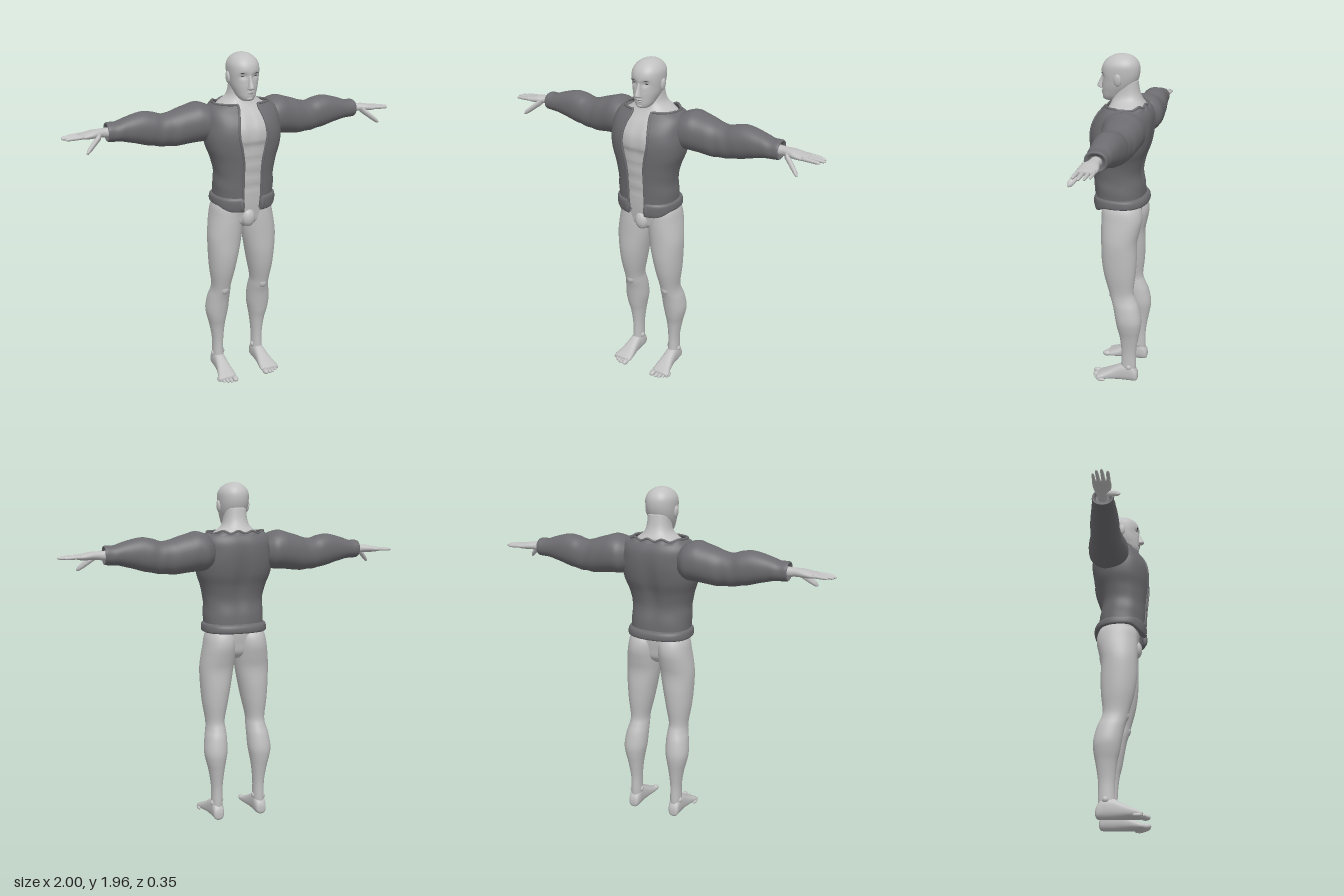
import * as THREE from 'three';

const mat = (name, color, side = THREE.FrontSide) => {
  const m = new THREE.MeshStandardMaterial({ color, side });
  m.name = name;
  return m;
};

// Smooth interpolation of station rows, k steps per span
function spline(rows, k) {
  const out = [];
  const at = i => rows[Math.max(0, Math.min(rows.length - 1, i))];
  for (let i = 0; i < rows.length - 1; i++) {
    for (let j = 0; j < k; j++) {
      const t = j / k;
      out.push(rows[i].map((b, c) => {
        const a = at(i - 1)[c], d = at(i + 1)[c], e = at(i + 2)[c];
        return b + 0.5 * t * (d - a + t * (2 * a - 5 * b + 4 * d - e + t * (3 * (b - d) + e - a)));
      }));
    }
  }
  out.push(rows[rows.length - 1]);
  return out;
}

// Skin of superelliptic rings along an axis. Row: [w, uMin, uMax, vMin, vMax, opening half-width]
// axis y: u = z, v = x;  axis x: u = y, v = z;  axis z: u = x, v = y
function loft(axis, rows, { n = 32, k = 4, power = 2.2, shape, open = false } = {}) {
  const rings = spline(rows, k), pos = [], idx = [];
  const put = (w, u, v) => {
    const p = axis === 'y' ? new THREE.Vector3(v, w, u)
      : axis === 'x' ? new THREE.Vector3(w, u, v) : new THREE.Vector3(u, v, w);
    if (shape) shape(p);
    pos.push(p.x, p.y, p.z);
  };
  const bend = c => Math.sign(c) * Math.abs(c) ** (2 / power);
  for (const [w, u0, u1, v0, v1, gap = 0] of rings) {
    const start = open ? Math.asin((gap / ((v1 - v0) / 2)) ** (power / 2)) : 0;
    for (let j = 0; j < n; j++) {
      const a = start + (2 * Math.PI - 2 * start) * j / (open ? n - 1 : n);
      put(w, (u0 + u1) / 2 + (u1 - u0) / 2 * bend(Math.cos(a)), (v0 + v1) / 2 + (v1 - v0) / 2 * bend(Math.sin(a)));
    }
  }
  const m = rings.length;
  for (let i = 0; i < m - 1; i++) {
    for (let j = 0; j < (open ? n - 1 : n); j++) {
      const a = i * n + j, b = i * n + (j + 1) % n;
      idx.push(a, b, b + n, a, b + n, a + n);
    }
  }
  if (!open) {
    for (const i of [0, m - 1]) {
      const [w, u0, u1, v0, v1] = rings[i], c = pos.length / 3;
      put(w, (u0 + u1) / 2, (v0 + v1) / 2);
      for (let j = 0; j < n; j++) {
        const a = i * n + j, b = i * n + (j + 1) % n;
        if (i) idx.push(a, b, c); else idx.push(b, a, c);
      }
    }
  }
  const g = new THREE.BufferGeometry();
  g.setAttribute('position', new THREE.Float32BufferAttribute(pos, 3));
  g.setIndex(idx);
  g.computeVertexNormals();
  g.userData = { n, m };
  return g;
}

const blob = (x, y, z, rx, ry, rz, tilt = 0) =>
  new THREE.SphereGeometry(1, 18, 12).scale(rx, ry, rz).rotateZ(tilt).translate(x, y, z);

function mirrored(geo) {
  const g = geo.clone().scale(-1, 1, 1), ix = g.index;
  for (let i = 0; i < ix.count; i += 3) {
    const b = ix.getX(i + 1);
    ix.setX(i + 1, ix.getX(i + 2));
    ix.setX(i + 2, b);
  }
  g.computeVertexNormals();
  return g;
}

// Tapered finger between two points
function finger(a, b, r) {
  const taper = [[0, 1], [0.3, 0.95], [0.6, 0.9], [0.9, 0.7], [1, 0.2]];
  return loft('x', taper.map(([t, s]) => {
    const [x, y, z] = a.map((p, i) => p + (b[i] - p) * t);
    return [x, y - r * s, y + r * s, z - r * s, z + r * s];
  }), { n: 12, k: 2, power: 2 });
}

const bell = (d, w) => Math.exp(-((d / w) ** 2));
const sym = rows => rows.map(([y, zb, zf, hw, gap]) => [y, zb, zf, -hw, hw, gap]);

export function createModel() {
  const model = new THREE.Group();
  model.name = 'figure';
  const skin = mat('skin grey', 0xc0c0c0);
  const cloth = mat('jacket grey', 0x6c6c70, THREE.DoubleSide);
  const dark = mat('eye grey', 0x4c4c4c);
  const add = (name, geo, material) => {
    const mesh = new THREE.Mesh(geo, material);
    mesh.name = name;
    model.add(mesh);
  };
  const pair = (name, geo, material) => {
    add('left' + name, geo, material);
    add('right' + name, mirrored(geo), material);
  };

  // Torso and neck, with breastbone, chest fold and belly lines
  add('torso', loft('y', sym([
    [0.965, -0.06, 0.05, 0.03], [1.0, -0.09, 0.095, 0.13], [1.05, -0.1, 0.105, 0.178], [1.12, -0.108, 0.115, 0.165],
    [1.2, -0.1, 0.122, 0.155], [1.3, -0.09, 0.132, 0.152], [1.4, -0.105, 0.142, 0.168], [1.46, -0.125, 0.146, 0.182],
    [1.5, -0.14, 0.158, 0.19], [1.56, -0.145, 0.153, 0.192], [1.62, -0.14, 0.122, 0.182], [1.66, -0.13, 0.09, 0.16],
    [1.69, -0.123, 0.07, 0.118], [1.72, -0.105, 0.06, 0.08], [1.76, -0.09, 0.052, 0.066], [1.82, -0.08, 0.05, 0.062],
  ]), {
    n: 64, k: 5, power: 2.3, shape: p => {
      if (p.z < 0.08) return;
      p.z -= 0.008 * bell(p.x, 0.015) * bell(p.y - 1.55, 0.08);
      for (const y of [1.22, 1.3, 1.38]) p.z -= 0.004 * bell(p.y - y, 0.012);
    },
  }), skin);
  add('groin', blob(0, 1.035, 0.095, 0.042, 0.055, 0.035), skin);

  // Head with eye sockets
  add('head', loft('y', sym([
    [1.705, 0.05, 0.095, 0.02], [1.712, 0.03, 0.11, 0.036], [1.73, 0, 0.117, 0.05], [1.755, -0.03, 0.119, 0.061],
    [1.785, -0.06, 0.12, 0.072], [1.82, -0.08, 0.119, 0.08], [1.86, -0.09, 0.123, 0.085], [1.9, -0.088, 0.115, 0.084],
    [1.93, -0.072, 0.093, 0.068], [1.95, -0.045, 0.062, 0.042], [1.958, -0.018, 0.034, 0.02], [1.96, 0, 0.015, 0.004],
  ]), {
    n: 64, k: 5, shape: p => {
      if (p.z > 0.04) p.z -= 0.012 * bell(Math.abs(p.x) - 0.034, 0.02) * bell(p.y - 1.843, 0.014);
    },
  }), skin);
  add('nose', loft('y', sym([
    [1.768, 0.1, 0.12, 0.008], [1.774, 0.1, 0.144, 0.018], [1.785, 0.1, 0.151, 0.016], [1.815, 0.1, 0.136, 0.01],
    [1.845, 0.1, 0.123, 0.009], [1.862, 0.1, 0.118, 0.008],
  ]), { n: 20, power: 2 }), skin);
  add('upperLip', blob(0, 1.757, 0.116, 0.022, 0.005, 0.009), skin);
  add('lowerLip', blob(0, 1.747, 0.115, 0.019, 0.005, 0.009), skin);
  add('mouthLine', blob(0, 1.752, 0.118, 0.022, 0.0015, 0.004), dark);
  add('chin', blob(0, 1.722, 0.1, 0.025, 0.014, 0.019), skin);
  pair('Eye', blob(0.034, 1.843, 0.099, 0.014, 0.0045, 0.006), dark);
  pair('Brow', blob(0.036, 1.859, 0.111, 0.02, 0.0025, 0.004, 0.12), dark);
  pair('Ear', blob(0.086, 1.828, 0.014, 0.011, 0.034, 0.021, -0.1), skin);

  // Legs
  pair('Leg', loft('y', [
    [0.05, -0.105, -0.01, 0.102, 0.163], [0.1, -0.11, -0.018, 0.1, 0.165], [0.2, -0.11, -0.02, 0.1, 0.165],
    [0.3, -0.125, -0.01, 0.09, 0.18], [0.36, -0.136, 0.004, 0.08, 0.195], [0.42, -0.14, 0.015, 0.07, 0.204],
    [0.5, -0.124, 0.03, 0.068, 0.195], [0.55, -0.104, 0.045, 0.07, 0.183], [0.6, -0.09, 0.058, 0.071, 0.181],
    [0.7, -0.1, 0.085, 0.05, 0.195], [0.8, -0.105, 0.1, 0.03, 0.203], [0.9, -0.104, 0.103, 0.012, 0.207],
    [0.97, -0.118, 0.105, 0.004, 0.2], [1.04, -0.131, 0.105, 0.002, 0.188], [1.1, -0.122, 0.1, 0.006, 0.176],
    [1.15, -0.09, 0.07, 0.04, 0.15],
  ], { n: 36, power: 2.15 }), skin);
  pair('Kneecap', blob(0.125, 0.575, 0.03, 0.03, 0.036, 0.026), skin);
  pair('InnerAnkle', blob(0.103, 0.11, -0.06, 0.012, 0.017, 0.017), skin);
  pair('OuterAnkle', blob(0.162, 0.1, -0.07, 0.012, 0.017, 0.017), skin);

  // Feet and toes
  pair('Foot', loft('z', [
    [-0.122, 0.12, 0.15, 0.02, 0.05], [-0.113, 0.105, 0.164, 0.004, 0.078], [-0.08, 0.098, 0.168, 0, 0.115],
    [-0.03, 0.098, 0.17, 0, 0.11], [0.02, 0.094, 0.176, 0, 0.085], [0.07, 0.087, 0.188, 0, 0.058],
    [0.105, 0.085, 0.199, 0, 0.041], [0.127, 0.09, 0.196, 0.005, 0.03],
  ], { power: 2.5 }), skin);
  for (let i = 0; i < 5; i++) {
    const r = i ? 0.012 - i * 0.0005 : 0.017;
    pair('Toe' + (i + 1), blob(0.103 + i * 0.021 + (i ? 0.006 : 0), r, 0.138 - i * i * 0.0025, r, r, 0.027), skin);
  }

  // Hands
  pair('Palm', loft('x', [
    [0.7, 1.55, 1.603, -0.085, -0.025], [0.76, 1.549, 1.6, -0.083, -0.026], [0.79, 1.553, 1.598, -0.085, -0.02],
    [0.83, 1.553, 1.596, -0.095, -0.004], [0.87, 1.553, 1.588, -0.099, 0], [0.9, 1.557, 1.583, -0.097, -0.004],
    [0.912, 1.564, 1.577, -0.09, -0.012],
  ]), skin);
  [[-0.088, 0.968, -0.09, 0.0095], [-0.064, 0.993, -0.07, 0.0105], [-0.038, 1.0, -0.043, 0.011], [-0.013, 0.984, -0.012, 0.011]]
    .forEach(([z0, x1, z1, r], i) => pair('Finger' + (i + 1), finger([0.885, 1.571, z0], [x1, 1.566, z1], r), skin));
  pair('Thumb', finger([0.8, 1.568, -0.018], [0.89, 1.495, 0.038], 0.02), skin);

  // Jacket body, open at the front, with a spine groove and uneven collar
  const spine = p => {
    if (p.z < 0) p.z += 0.016 * bell(p.x, 0.035) * bell(p.y - 1.42, 0.17);
  };
  const coat = loft('y', sym([
    [1.15, -0.125, 0.15, 0.172, 0.055], [1.22, -0.122, 0.155, 0.174, 0.055], [1.3, -0.11, 0.16, 0.172, 0.055],
    [1.38, -0.125, 0.168, 0.188, 0.057], [1.45, -0.15, 0.175, 0.212, 0.068], [1.52, -0.165, 0.176, 0.222, 0.082],
    [1.58, -0.17, 0.164, 0.217, 0.08], [1.63, -0.166, 0.137, 0.212, 0.07], [1.665, -0.15, 0.108, 0.195, 0.06],
    [1.687, -0.128, 0.09, 0.16, 0.06],
  ]), {
    n: 72, k: 5, power: 2.4, open: true, shape: p => {
      spine(p);
      if (p.y > 1.675 && p.z < 0) p.y += 0.007 * Math.sin(p.x * 75);
      const a = Math.atan2(p.x, p.z);
      p.x *= 1 + 0.008 * Math.sin(p.y * 60 + a * 3) * bell(p.y - 1.25, 0.1);
    },
  });
  add('jacketBody', coat, cloth);

  // Rolled fabric edge along both fronts and round the collar
  const { n, m } = coat.userData, at = coat.attributes.position;
  const edge = (name, ids) => add(name, new THREE.TubeGeometry(
    new THREE.CatmullRomCurve3(ids.map(i => new THREE.Vector3().fromBufferAttribute(at, i))), 80, 0.007, 8), cloth);
  const rows = [...Array(m).keys()];
  edge('leftFrontEdge', rows.map(i => i * n));
  edge('rightFrontEdge', rows.map(i => i * n + n - 1));
  edge('collarEdge', [...Array(n).keys()].map(j => (m - 1) * n + j));

  // Waistband, deeper at the front
  add('waistband', loft('y', sym([
    [1.1, -0.12, 0.12, 0.165, 0.05], [1.088, -0.14, 0.148, 0.18, 0.05], [1.1, -0.15, 0.158, 0.188, 0.05],
    [1.135, -0.15, 0.162, 0.188, 0.05], [1.16, -0.142, 0.16, 0.184, 0.052], [1.172, -0.128, 0.15, 0.172, 0.055],
  ]), {
    n: 72, power: 2.4, open: true, shape: p => {
      const back = 1 - THREE.MathUtils.smoothstep(p.z, 0.06, 0.14);
      p.y = 1.172 - (1.172 - p.y) * (1 - 0.38 * back);
    },
  }), cloth);
  pair('BandEnd', blob(0.062, 1.128, 0.146, 0.016, 0.04, 0.015), cloth);

  // Sleeves with soft folds and a turned-in cuff
  pair('Sleeve', loft('x', [
    [0.16, 1.5, 1.66, -0.14, 0.045], [0.2, 1.478, 1.684, -0.17, 0.06], [0.25, 1.474, 1.695, -0.173, 0.058],
    [0.3, 1.47, 1.682, -0.168, 0.048], [0.36, 1.463, 1.665, -0.158, 0.038], [0.43, 1.465, 1.645, -0.146, 0.026],
    [0.5, 1.475, 1.66, -0.143, 0.022], [0.55, 1.485, 1.668, -0.138, 0.02], [0.62, 1.505, 1.655, -0.128, 0.015],
    [0.7, 1.522, 1.63, -0.116, 0.008], [0.75, 1.524, 1.627, -0.113, 0.004], [0.757, 1.532, 1.618, -0.105, -0.004],
    [0.745, 1.545, 1.604, -0.09, -0.02],
  ], {
    n: 40, k: 6, shape: p => {
      const y = p.y - 1.575, z = p.z + 0.055, a = Math.atan2(y, z);
      const s = 1 + 0.018 * Math.sin(p.x * 75 + 2 * Math.sin(a)) * (bell(p.x - 0.44, 0.08) + bell(p.x - 0.7, 0.06));
      p.y = 1.575 + y * s;
      p.z = -0.055 + z * s;
    },
  }), cloth);

  return model;
}
